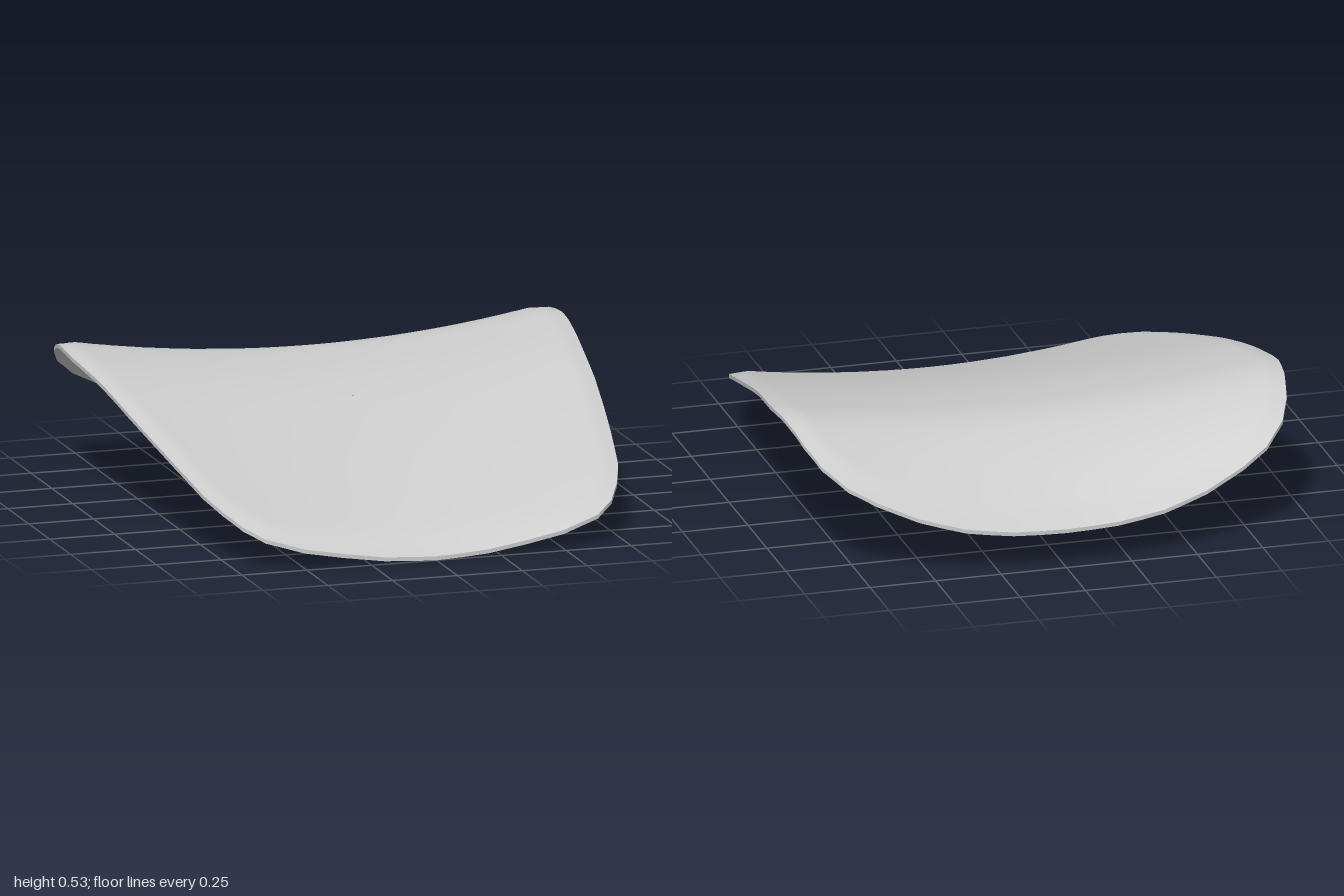
import * as THREE from 'three';

const THICKNESS = 0.015;

// Right half of the plan outline (x, z), from the back centre to the front centre
const HALF = [
  [0, -1], [0.2, -0.998], [0.38, -0.987], [0.55, -0.96], [0.7, -0.92], [0.8, -0.88], [0.88, -0.81],
  [0.922, -0.72], [0.948, -0.6], [0.96, -0.48], [0.958, -0.4], [0.944, -0.27], [0.925, -0.12], [0.9, 0.1],
  [0.87, 0.3], [0.84, 0.48], [0.8, 0.69], [0.76, 0.8], [0.71, 0.89], [0.64, 0.945], [0.5, 0.975],
  [0.2, 0.995], [0, 1],
];

// Height of the centre line along z
const LINE_Z = [-1, -0.9, -0.8, -0.7, -0.6, -0.5, -0.4, -0.2, 0, 0.2, 0.4, 0.6, 0.8, 0.9, 0.97, 1];
const LINE_Y = [0.165, 0.266, 0.347, 0.406, 0.444, 0.457, 0.452, 0.431, 0.391, 0.337, 0.277, 0.211, 0.139, 0.097, 0.057, 0.03];
const centreLine = new THREE.CubicInterpolant(LINE_Z, LINE_Y, 1, [0]);

// Upper surface: centre line plus a dish that lifts the sides
function heightAt(x, z) {
  return centreLine.evaluate(z)[0] + (0.078 + 0.06 * z * z) * x * x;
}

function makeOutline() {
  const mirrored = HALF.slice(1, -1).reverse().map(([x, z]) => [-x, z]);
  const pts = [...HALF, ...mirrored];
  // Each side of the outline is split in two
  return pts.flatMap(([x, z], i) => {
    const [nx, nz] = pts[(i + 1) % pts.length];
    return [[x, z], [(x + nx) / 2, (z + nz) / 2]];
  });
}

// Joins closed rings of points into a skin
function skin(rings) {
  const n = rings[0].length;
  const index = [];
  for (let r = 0; r < rings.length - 1; r++) {
    for (let j = 0; j < n; j++) {
      const a = r * n + j, b = r * n + (j + 1) % n;
      index.push(a, b, b + n, a, b + n, a + n);
    }
  }
  const geo = new THREE.BufferGeometry().setFromPoints(rings.flat());
  geo.setIndex(index);
  geo.computeVertexNormals();
  return geo;
}

export function createModel() {
  const group = new THREE.Group();
  group.name = 'seatShell';
  const material = new THREE.MeshStandardMaterial({ color: 0xcccccc });
  const outline = makeOutline();

  // A ring is the outline scaled towards the middle, draped on the surface and rolled down at the edge
  const ring = (s, drop) => {
    const roll = 0.015 * THREE.MathUtils.clamp((s - 0.94) / 0.06, 0, 1);
    return outline.map(([x, z]) => new THREE.Vector3(x * s, heightAt(x * s, z * s) - roll - drop, z * s));
  };
  const RINGS = 28;
  const scales = Array.from({ length: RINGS + 1 }, (_, i) => 1 - (1 - Math.max(i / RINGS, 0.001)) ** 1.4);

  const add = (name, rings) => {
    const mesh = new THREE.Mesh(skin(rings), material);
    mesh.name = name;
    group.add(mesh);
  };
  // Rings run outwards on top, down the rim and inwards below
  add('upperSurface', scales.map((s) => ring(s, 0)));
  add('rim', [ring(1, 0), ring(1, THICKNESS)]);
  add('lowerSurface', scales.map((s) => ring(s, THICKNESS)).reverse());

  return group;
}
